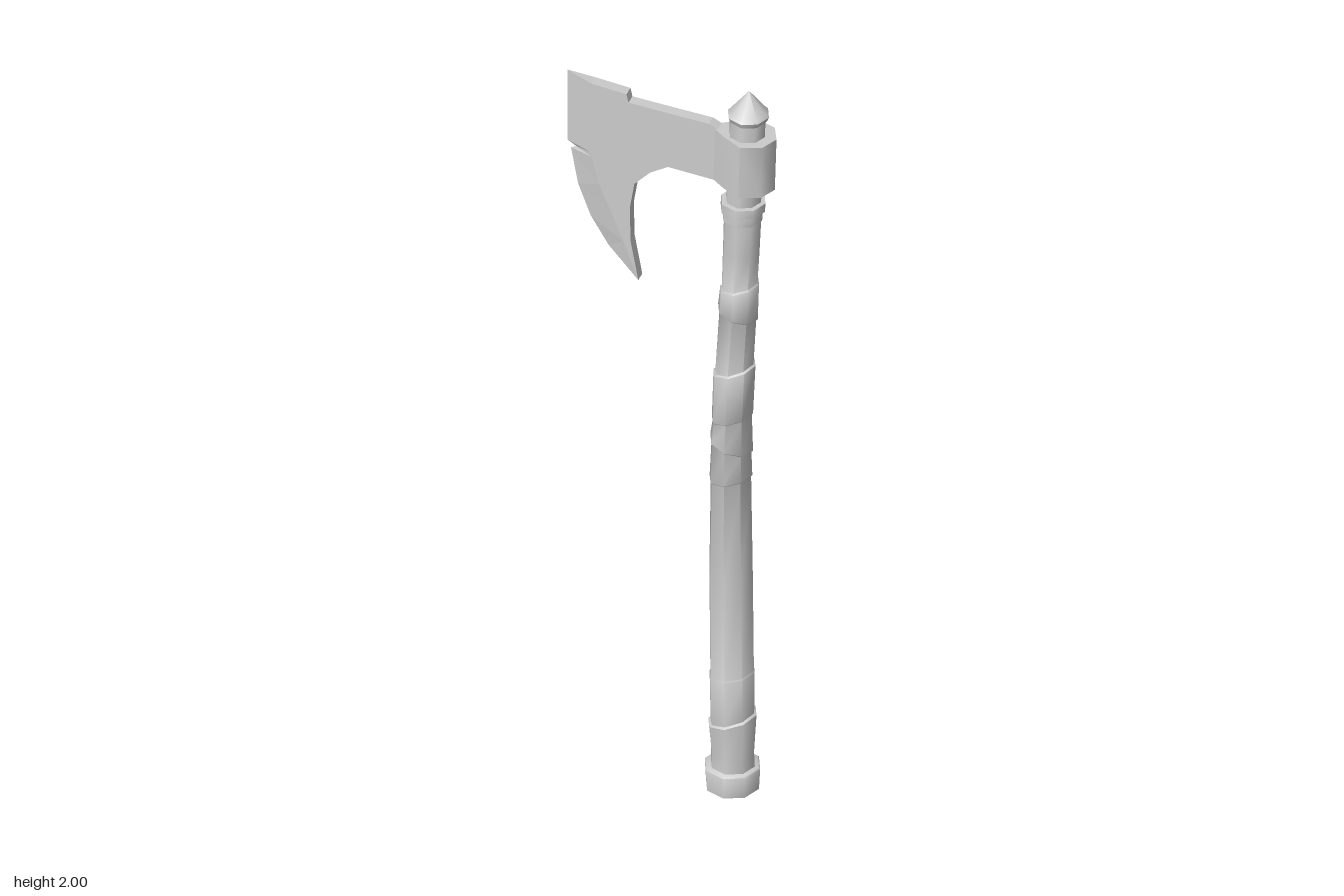
import * as THREE from 'three';
import { toCreasedNormals } from 'three/addons/utils/BufferGeometryUtils.js';

const SIDES = 8;
const material = new THREE.MeshStandardMaterial({ color: 0xcccccc });

function mesh(name, geometry) {
  const m = new THREE.Mesh(geometry, material);
  m.name = name;
  return m;
}

// Octagonal loft through rings [y, centreX, centreZ, radius, tilt]
function loft(rings) {
  const positions = [], index = [];
  rings.forEach(([y, cx, cz, r, tilt = 0], i) => {
    for (let j = 0; j < SIDES; j++) {
      const a = (j / SIDES) * Math.PI * 2;
      positions.push(cx + r * Math.sin(a), y + tilt * Math.sin(a), cz + r * Math.cos(a));
      if (i === rings.length - 1) continue;
      const p = i * SIDES + j, q = i * SIDES + (j + 1) % SIDES;
      index.push(p, q, q + SIDES, p, q + SIDES, p + SIDES);
    }
  });
  const g = new THREE.BufferGeometry();
  g.setAttribute('position', new THREE.Float32BufferAttribute(positions, 3));
  g.setIndex(index);
  return toCreasedNormals(g, THREE.MathUtils.degToRad(50));
}

// Gently bowed shaft, with the leather wraps as small tilted steps
function shaftGeometry() {
  const bow = new THREE.CatmullRomCurve3([
    [0.16, 0, 0.003], [0.157, 0.4, 0.001], [0.153, 0.85, -0.002], [0.162, 1.2, -0.003],
    [0.174, 1.42, -0.003], [0.183, 1.65, -0.003],
  ].map(p => new THREE.Vector3(...p)));
  const samples = bow.getPoints(200);
  const centre = y => samples.reduce((a, b) => (Math.abs(b.y - y) < Math.abs(a.y - y) ? b : a));
  // height, radius below the step, radius above it, tilt
  const steps = [
    [0.1, 0.054, 0.054, 0.005], [0.195, 0.061, 0.055, 0.018], [0.325, 0.057, 0.055, 0.01],
    [0.6, 0.055, 0.055, 0], [0.885, 0.051, 0.054, 0.012], [0.98, 0.05, 0.054, -0.014],
    [1.06, 0.049, 0.052, 0.015], [1.2, 0.053, 0.048, 0.016], [1.36, 0.046, 0.05, -0.012],
    [1.44, 0.049, 0.045, 0.012], [1.55, 0.046, 0.046, 0],
  ];
  const rings = [[0.05, 0.16, 0.003, 0.056]];
  for (const [y, below, above, tilt] of steps) {
    const c = centre(y);
    rings.push([y - 0.002, c.x, c.z, below, tilt]);
    if (below !== above) rings.push([y + 0.002, c.x, c.z, above, tilt]);
  }
  rings.push([1.65, 0.183, -0.003, 0.047]);
  return loft(rings);
}

// Flat plate with a bevel running out to the cutting edge
function bladeGroup() {
  const group = new THREE.Group();
  group.name = 'blade';
  const half = 0.0145;
  const midZ = x => -0.0135 + 0.015 * x;
  // cutting edge points, each paired with its bevel start
  const edge = [[-0.265, 1.952], [-0.265, 1.75], [-0.243, 1.737], [-0.256, 1.73],
    [-0.238, 1.63], [-0.206, 1.545], [-0.16, 1.47], [-0.08, 1.397]];
  const bevel = [[-0.2, 1.936], [-0.2, 1.75], [-0.2, 1.737], [-0.199, 1.725],
    [-0.18, 1.65], [-0.15, 1.58], [-0.118, 1.5], [-0.08, 1.397]];
  const rest = [[-0.1, 1.508], [-0.101, 1.603], [-0.09, 1.672], [-0.05, 1.714],
    [-0.005, 1.741], [0.13, 1.73], [0.13, 1.875], [0.1, 1.89], [0, 1.896],
    [-0.105, 1.903], [-0.11, 1.926]];

  const outline = new THREE.Shape([...bevel, ...rest].map(p => new THREE.Vector2(...p)));
  const plate = new THREE.ExtrudeGeometry(outline, { depth: half * 2, bevelEnabled: false });
  const pos = plate.attributes.position;
  for (let i = 0; i < pos.count; i++) pos.setZ(i, pos.getZ(i) - half + midZ(pos.getX(i)));
  plate.computeVertexNormals();
  group.add(mesh('bladePlate', plate));

  const verts = [];
  const E = i => [...edge[i], midZ(edge[i][0])];
  const B = (i, s) => [...bevel[i], midZ(bevel[i][0]) + s * half];
  const tri = (a, b, c) => verts.push(...a, ...b, ...c);
  for (let i = 0; i < edge.length - 1; i++) {
    tri(E(i), E(i + 1), B(i + 1, 1));
    tri(E(i), B(i + 1, 1), B(i, 1));
    tri(E(i), B(i + 1, -1), E(i + 1));
    tri(E(i), B(i, -1), B(i + 1, -1));
  }
  tri(E(0), B(0, 1), B(0, -1));
  const wedge = new THREE.BufferGeometry();
  wedge.setAttribute('position', new THREE.Float32BufferAttribute(verts, 3));
  wedge.computeVertexNormals();
  group.add(mesh('cuttingEdge', wedge));
  return group;
}

// Eye of the head: rounded at the back, narrowing to the blade
function socketGeometry() {
  const outline = [[0.07, 0], [0.05, 0.045], [0, 0.065], [-0.045, 0.04], [-0.08, 0.014],
    [-0.08, -0.014], [-0.045, -0.04], [0, -0.065], [0.05, -0.045]];
  const shape = new THREE.Shape(outline.map(p => new THREE.Vector2(...p)));
  const g = new THREE.ExtrudeGeometry(shape, { depth: 0.146, bevelEnabled: false });
  g.translate(0, 0, -0.073).rotateX(-Math.PI / 2).rotateZ(-0.03).translate(0.194, 1.804, -0.009);
  return toCreasedNormals(g, THREE.MathUtils.degToRad(50));
}

export function createModel() {
  const model = new THREE.Group();
  model.name = 'axe';

  model.add(mesh('pommel', loft([
    [0, 0.159, 0.003, 0], [0, 0.159, 0.003, 0.067], [0.058, 0.159, 0.003, 0.07],
    [0.062, 0.159, 0.003, 0.066], [0.062, 0.159, 0.003, 0],
  ])));
  model.add(mesh('shaft', shaftGeometry()));

  model.add(mesh('collar', loft([
    [1.635, 0.182, -0.003, 0.044], [1.637, 0.182, -0.003, 0.05], [1.662, 0.183, -0.003, 0.05],
    [1.664, 0.183, -0.003, 0.056], [1.688, 0.184, -0.004, 0.056], [1.69, 0.184, -0.004, 0],
  ])));
  model.add(mesh('neck', loft([
    [1.68, 0.184, -0.005, 0.044], [1.93, 0.194, -0.009, 0.045],
  ])));

  model.add(mesh('socket', socketGeometry()));
  model.add(bladeGroup());

  // Pointed cap
  model.add(mesh('finial', loft([
    [1.92, 0.195, -0.009, 0], [1.92, 0.195, -0.009, 0.046], [1.934, 0.195, -0.009, 0.052],
    [1.94, 0.195, -0.009, 0.046], [2, 0.197, -0.009, 0],
  ])));
  return model;
}
